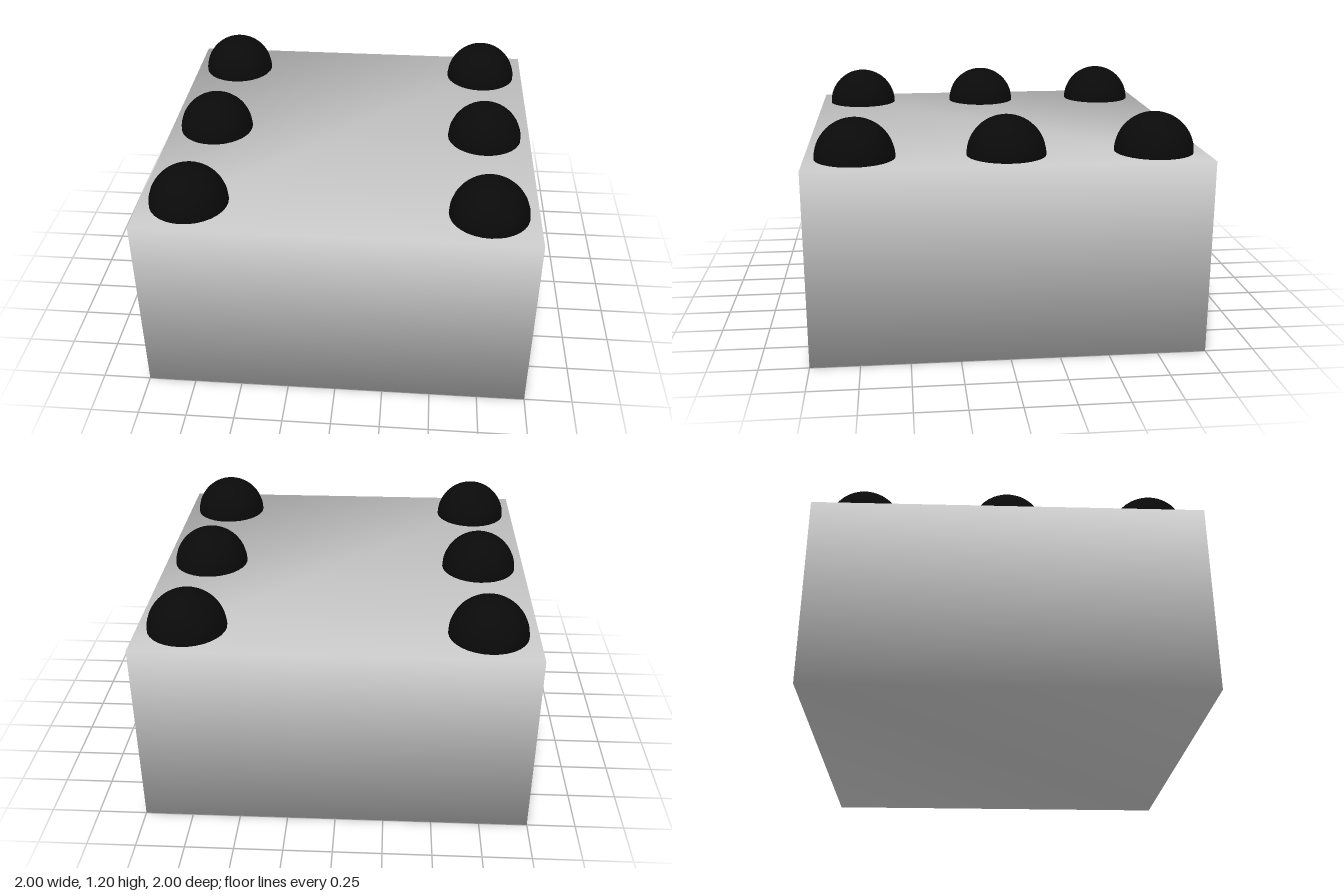
import * as THREE from 'three';
import { mergeVertices } from 'three/addons/utils/BufferGeometryUtils.js';

export function createModel() {
  const model = new THREE.Group();
  const grey = new THREE.MeshStandardMaterial({ color: 0xcccccc });
  const black = new THREE.MeshStandardMaterial({ color: 0x0a0a0a });

  // Block: corners are shared so the shading runs smoothly across the edges
  let box = new THREE.BoxGeometry(2, 1, 2);
  box.deleteAttribute('uv');
  box.deleteAttribute('normal');
  box = mergeVertices(box);
  box.computeVertexNormals();
  const block = new THREE.Mesh(box, grey);
  block.name = 'block';
  block.position.y = 0.5;
  model.add(block);

  // Six domed studs in two rows of three on the top face
  const dome = new THREE.SphereGeometry(0.2, 32, 16, 0, Math.PI * 2, 0, Math.PI / 2);
  const studs = new THREE.Group();
  studs.name = 'studs';
  for (const x of [-0.75, 0.75]) {
    for (const z of [-0.75, 0, 0.75]) {
      const stud = new THREE.Mesh(dome, black);
      stud.name = 'stud';
      stud.position.set(x, 1, z);
      studs.add(stud);
    }
  }
  model.add(studs);
  return model;
}
